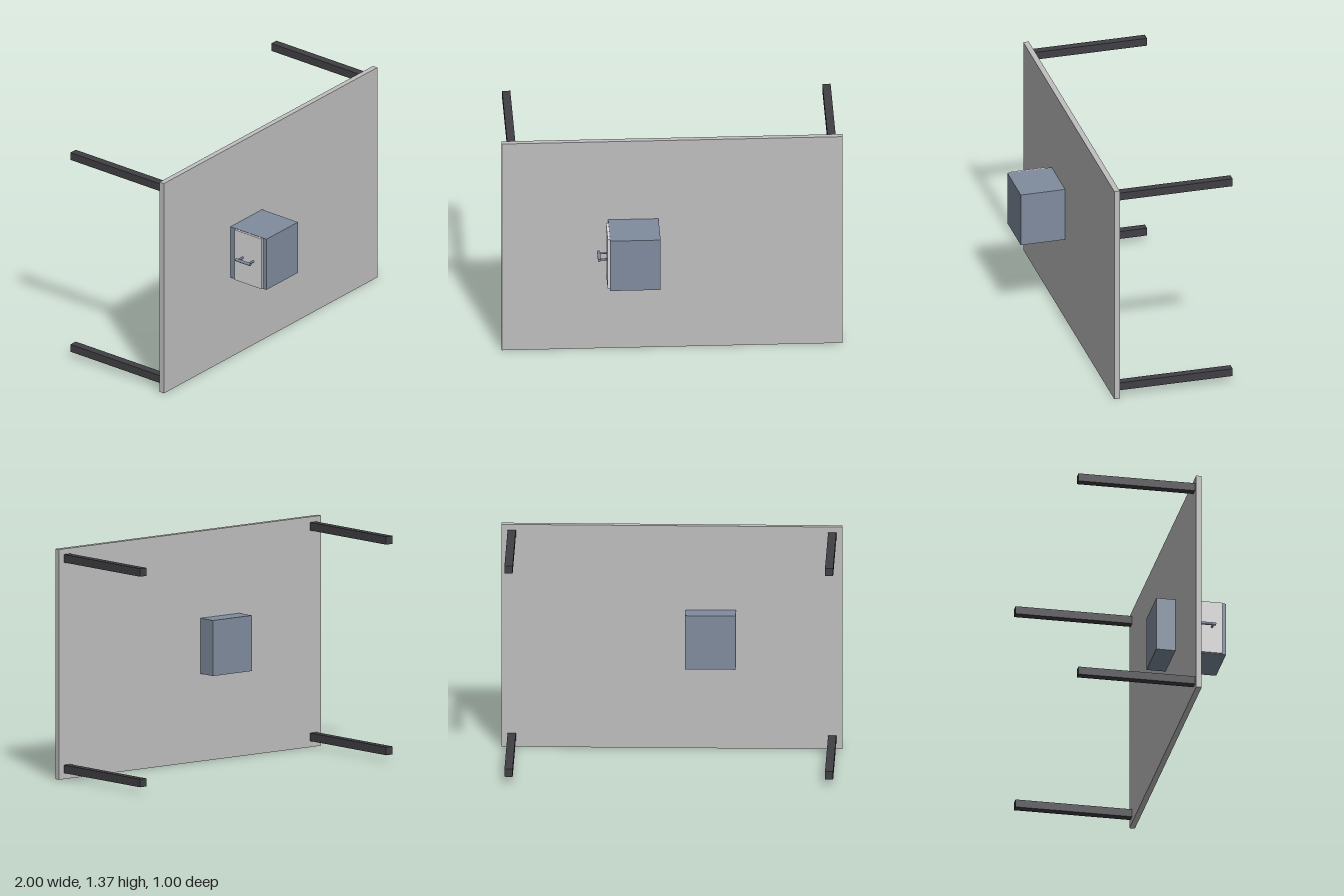
import * as THREE from 'three';

export function createModel() {
  const model = new THREE.Group();
  const material = (name, color) => {
    const m = new THREE.MeshStandardMaterial({ color });
    m.name = name;
    return m;
  };
  const panelGrey = material('panel grey', 0xbfbfbf);
  const legBlack = material('leg charcoal', 0x404044);
  const steelBlue = material('steel blue', 0x808c9e);
  const doorGrey = material('door pale grey', 0xd9d9d9);

  // Box given by its minimum and maximum corners
  const box = (name, mat, [x0, y0, z0], [x1, y1, z1]) => {
    const mesh = new THREE.Mesh(new THREE.BoxGeometry(x1 - x0, y1 - y0, z1 - z0), mat);
    mesh.position.set((x0 + x1) / 2, (y0 + y1) / 2, (z0 + z1) / 2);
    mesh.name = name;
    model.add(mesh);
  };

  // Upright panel with four legs behind it
  box('panel', panelGrey, [-1, 0, 0.197], [1, 1.367, 0.23]);
  for (const x of [-0.94, 0.94])
    for (const y of [0.06, 1.31])
      box('leg', legBlack, [x - 0.024, y - 0.024, -0.5], [x + 0.024, y + 0.024, 0.197]);

  // Cabinet passing through the panel, with a door on its right side
  box('cabinet', steelBlue, [-0.376, 0.52, 0.083], [-0.08, 0.85, 0.5]);
  box('door', doorGrey, [-0.39, 0.522, 0.27], [-0.376, 0.848, 0.475]);

  // Round bar handle on two posts
  const rod = (name, radius, length, x, z) => {
    const mesh = new THREE.Mesh(new THREE.CylinderGeometry(radius, radius, length, 16), steelBlue);
    mesh.position.set(x, 0.685, z);
    mesh.name = name;
    model.add(mesh);
    return mesh;
  };
  rod('handleBar', 0.009, 0.11, -0.436, 0.373).rotation.x = Math.PI / 2;
  for (const z of [0.333, 0.413])
    rod('handlePost', 0.006, 0.046, -0.413, z).rotation.z = Math.PI / 2;

  return model;
}
